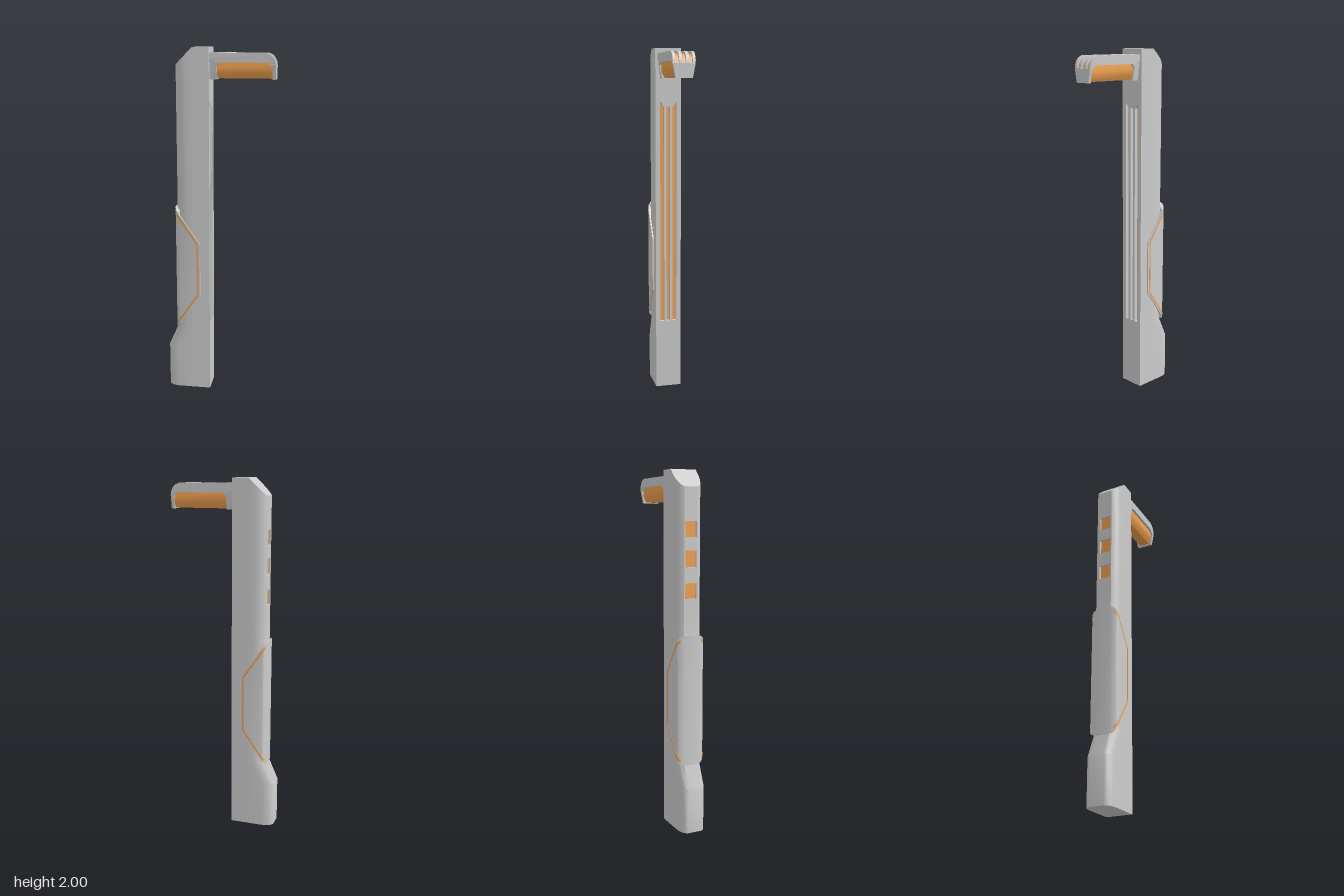
import * as THREE from 'three';
import { toCreasedNormals } from 'three/addons/utils/BufferGeometryUtils.js';

const grey = new THREE.MeshStandardMaterial({ color: 0xcccccc });
const orange = new THREE.MeshStandardMaterial({ color: 0xf0a050 });

function addMesh(parent, name, geometry, material = grey) {
  const mesh = new THREE.Mesh(toCreasedNormals(geometry, 0.5), material);
  mesh.name = name;
  parent.add(mesh);
  return mesh;
}

// Skin a series of closed rings and cap both ends with strips
function loft(rings) {
  const pos = [];
  const tri = (a, b, c) => {
    const area = new THREE.Triangle(a, b, c).getArea();
    if (area > 1e-9) for (const p of [a, b, c]) pos.push(p.x, p.y, p.z);
  };
  const quad = (a, b, c, d) => { tri(a, b, c); tri(a, c, d); };
  const n = rings[0].length;
  for (let r = 0; r < rings.length - 1; r++) {
    const p = rings[r], q = rings[r + 1];
    for (let i = 0; i < n; i++) {
      const j = (i + 1) % n;
      quad(p[i], q[i], q[j], p[j]);
    }
  }
  const first = rings[0], last = rings[rings.length - 1];
  for (let i = 0; i < n / 2 - 1; i++) {
    quad(first[i], first[i + 1], first[n - 2 - i], first[n - 1 - i]);
    quad(last[n - 1 - i], last[n - 2 - i], last[i + 1], last[i]);
  }
  const g = new THREE.BufferGeometry();
  g.setAttribute('position', new THREE.Float32BufferAttribute(pos, 3));
  return g;
}

const shapeOf = (pts) => new THREE.Shape(pts.map(([x, y]) => new THREE.Vector2(x, y)));
const extrude = (shape, depth) => new THREE.ExtrudeGeometry(shape, { depth, bevelEnabled: false });

// Post: half section as [x, z, extra x at the foot, notch depth]
const windows = [[1.31, 1.395], [1.48, 1.57], [1.64, 1.725]];
function buildPost(parent) {
  const half = [
    [-0.08, 0.075, 0, 0], [-0.147, 0.075, 0, 0], [-0.185, 0.075, -0.06, 0],
    [-0.205, 0.0715, -0.06, 0], [-0.222, 0.065, -0.062, 0], [-0.236, 0.054, -0.062, 0],
    [-0.245, 0.04, -0.06, 0], [-0.245, 0.034, -0.06, 0], [-0.245, 0.034, -0.06, 0.018],
  ];
  const section = [...half, ...half.map(([x, z, d, n]) => [x, -z, d, n]).reverse()];
  const ring = (y, foot, notch) => section.map(([x, z, d, n]) =>
    new THREE.Vector3(x + d * foot + n * notch, y, z));
  const rings = [ring(0, 1, 0), ring(0.26, 1, 0), ring(0.395, 0, 0)];
  for (const [a, b] of windows) rings.push(ring(a, 0, 0), ring(a, 0, 1), ring(b, 0, 1), ring(b, 0, 0));
  // sloped cut at the top
  rings.push(ring(2, 0, 0).map((p) => p.setY(Math.min(2, 1.91 + (p.x + 0.24) * 0.9677))));
  addMesh(parent, 'post', loft(rings));

  windows.forEach(([a, b]) => {
    const g = new THREE.BoxGeometry(0.012, b - a, 0.066);
    addMesh(parent, 'rearWindow', g, orange).position.set(-0.226, (a + b) / 2, 0);
  });

  // Front plate with three slots and the orange strips behind them
  const plate = shapeOf([[-0.075, 0], [0.075, 0], [0.075, 2], [-0.075, 2]]);
  const slots = [
    [[-0.01, 0.41], [0.01, 0.41], [0.01, 1.675], [-0.01, 1.675]],
    ...[-1, 1].map((s) => [[0.025 * s, 0.41], [0.048 * s, 0.41], [0.048 * s, 1.705], [0.025 * s, 1.675]]),
  ];
  for (const s of slots) plate.holes.push(shapeOf(s));
  const g = extrude(plate, 0.025).rotateY(Math.PI / 2).translate(-0.08, 0, 0);
  addMesh(parent, 'frontPlate', g);
  for (const s of slots) {
    addMesh(parent, 'slotStrip', extrude(shapeOf(s), 0.004).rotateY(Math.PI / 2).translate(-0.08, 0, 0), orange);
  }
}

// Sleeve wrapped around the back of the post, with an orange inlay on each side
function buildSleeve(parent) {
  const rise = (x) => (-0.11 - x) * 1.44;
  const shell = (path, grow, depth, top, bottom) => loft(path.map(([x, z]) => {
    const zo = z + Math.sign(z) * grow, zi = z - Math.sign(z) * depth;
    const xo = x < -0.23 ? x - grow : x, xi = x < -0.23 ? x + depth : x;
    const t = top(x), b = bottom(x);
    return [new THREE.Vector3(xo, t, zo), new THREE.Vector3(xo, b, zo),
      new THREE.Vector3(xi, b, zi), new THREE.Vector3(xi, t, zi)];
  }));
  const half = [[-0.11, 0.083], [-0.228, 0.083], [-0.242, 0.077], [-0.251, 0.064], [-0.257, 0.042]];
  const path = [...half, ...half.map(([x, z]) => [x, -z]).reverse()];
  addMesh(parent, 'sleeve', shell(path, 0, 0.015, (x) => 0.9 + rise(x), (x) => 0.59 - rise(x)));

  for (const s of [1, -1]) {
    const side = (pts) => {
      const p = pts.map(([x, z]) => [x, z * s]);
      return s > 0 ? p : p.reverse();
    };
    const slope = side([[-0.12, 0.083], ...half.slice(1, 4)]);
    const top = (x) => 0.888 + rise(x), bottom = (x) => 0.602 - rise(x);
    addMesh(parent, 'inlayTop', shell(slope, 0.0008, 0.002, top, (x) => top(x) - 0.018), orange);
    addMesh(parent, 'inlayBottom', shell(slope, 0.0008, 0.002, (x) => bottom(x) + 0.018, bottom), orange);
    const upright = side([[-0.12, 0.083], [-0.129, 0.083]]);
    addMesh(parent, 'inlayUpright', shell(upright, 0.0008, 0.002, top, bottom), orange);
  }
}

// Arm: front profiles extruded across z, narrowing toward the underside
function buildArm(parent) {
  const slab = (name, pts, z0, z1, material) => {
    const g = extrude(shapeOf(pts), z1 - z0).translate(0, 0, z0);
    const p = g.attributes.position;
    for (let i = 0; i < p.count; i++) {
      const k = THREE.MathUtils.clamp((1.91 - p.getY(i)) / 0.08, 0, 1);
      p.setZ(i, p.getZ(i) * (1 - 0.25 * k));
    }
    addMesh(parent, name, g, material);
  };
  const w = 0.0615;
  slab('armCore', [
    [-0.06, 1.83], [-0.015, 1.83], [-0.015, 1.905], [0, 1.92], [0.273, 1.92], [0.288, 1.905], [0.288, 1.83],
    [0.305, 1.83], [0.305, 1.905], [0.29, 1.91], [0.275, 1.93], [0.25, 1.947], [-0.06, 1.947],
  ], -w, w);
  const outer = [[0.305, 1.9], [0.302, 1.922], [0.294, 1.942], [0.28, 1.959], [0.255, 1.97], [-0.06, 1.97]];
  const inner = [[0.296, 1.905], [0.286, 1.93], [0.272, 1.946], [0.25, 1.955], [-0.06, 1.955]];
  const under = [[-0.06, 1.935], [0.25, 1.935], [0.28, 1.9]];
  for (const [a, b] of [[-w, -0.046], [-0.027, -0.01], [0.01, 0.027], [0.046, w]]) {
    slab('armRib', [...outer, ...under], a, b);
  }
  for (const [a, b] of [[-0.046, -0.027], [-0.01, 0.01], [0.027, 0.046]]) {
    slab('armStrip', [...inner, ...under], a, b, orange);
  }

  // Faceted lamp held between the two ends of the arm
  const lamp = shapeOf([[-0.03, 1.835], [0.03, 1.835], [0.047, 1.865], [0.05, 1.89], [0.045, 1.925],
    [-0.045, 1.925], [-0.05, 1.89], [-0.047, 1.865]]);
  addMesh(parent, 'lamp', extrude(lamp, 0.304).rotateY(Math.PI / 2).translate(-0.016, 0, 0), orange);
}

export function createModel() {
  const model = new THREE.Group();
  model.name = 'lampPost';
  for (const [name, build] of [['column', buildPost], ['sleeveGroup', buildSleeve], ['arm', buildArm]]) {
    const part = new THREE.Group();
    part.name = name;
    build(part);
    model.add(part);
  }
  return model;
}
